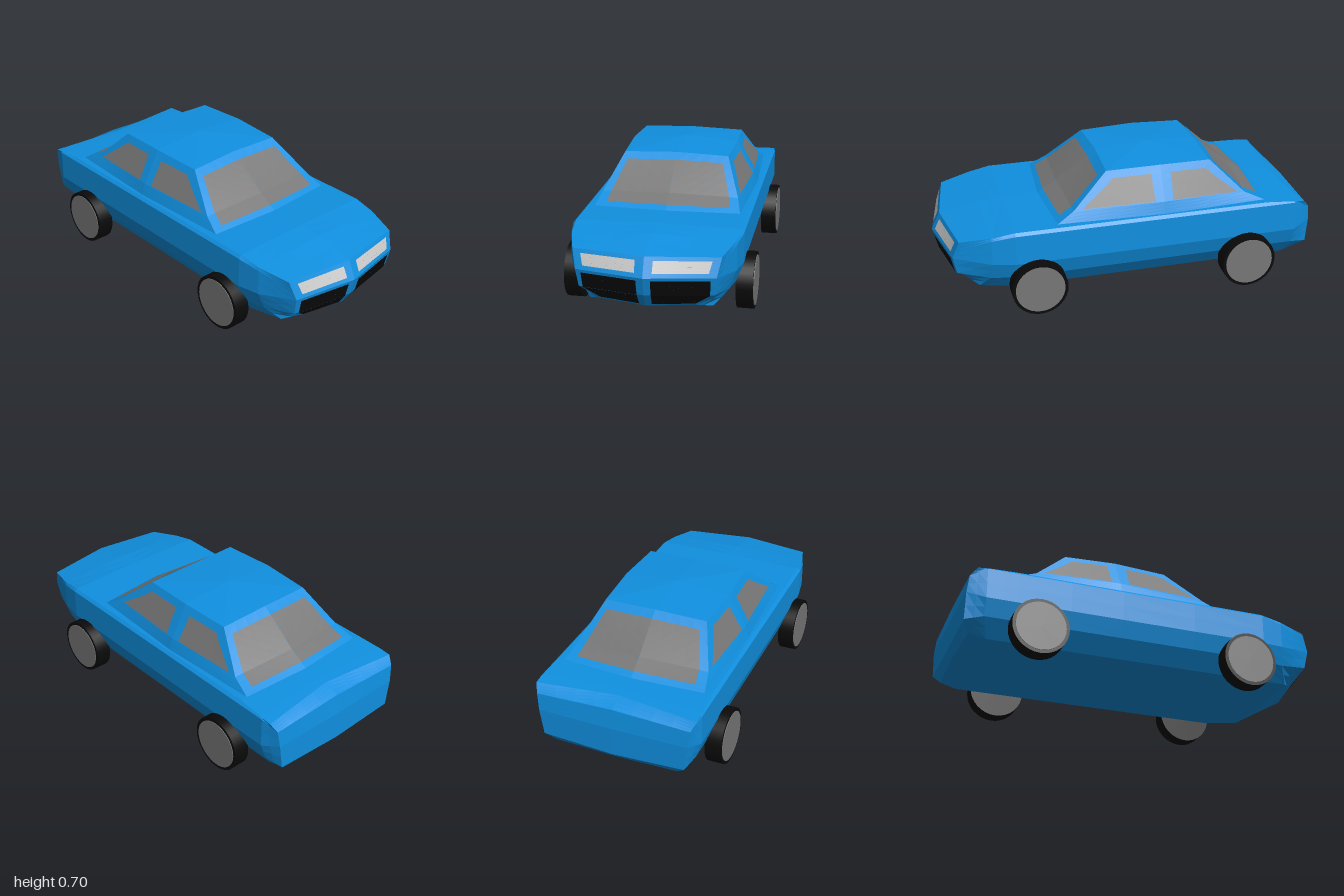
import * as THREE from 'three';

const BLUE = 0x1090e0, GLASS = 0x777777, BLACK = 0x0a0a0a, LIGHT = 0xcccccc;
const V = (x, y, z = 0) => new THREE.Vector3(x, y, z);
const CORE = V(-0.1, 0.3, 0); // every panel faces away from this inner point
const FULL = [[0, 0], [1, 0], [1, 1], [0, 1]];

// Collects triangles for one half of the car and mirrors them across z = 0
class Panels {
  constructor() { this.pos = []; }
  push(a, b, c, lift) {
    const n = b.clone().sub(a).cross(c.clone().sub(a));
    if (n.lengthSq() < 1e-16) return;
    n.normalize();
    const mid = a.clone().add(b).add(c).divideScalar(3).sub(CORE);
    const flip = n.dot(mid) < 0;
    if (flip) n.negate();
    for (const p of flip ? [a, c, b] : [a, b, c]) {
      this.pos.push(p.x + n.x * lift, p.y + n.y * lift, p.z + n.z * lift);
    }
  }
  tri(a, b, c, lift = 0) {
    this.push(a, b, c, lift);
    const [d, e, f] = [a, b, c].map((p) => V(p.x, p.y, -p.z));
    this.push(d, e, f, lift);
  }
  // Curved four-corner panel; uv picks the part of it to cover
  patch(A, B, C, D, uv = FULL, lift = 0, n = 4) {
    const mix = (a, b, c, d, u, v) =>
      a.clone().lerp(b, u).lerp(d.clone().lerp(c, u), v);
    const q = uv.map(([u, v]) => mix(A, B, C, D, u, v).setComponent(0, mix(A, B, C, D, u, v).x));
    const w = uv.map(([u, v]) => V(u, v));
    const at = (i, j) => {
      if (uv === FULL) return mix(...q, i / n, j / n);
      const s = mix(...w, i / n, j / n);
      return mix(A, B, C, D, s.x, s.y);
    };
    for (let i = 0; i < n; i++) {
      for (let j = 0; j < n; j++) {
        const a = at(i, j), b = at(i + 1, j), c = at(i + 1, j + 1), d = at(i, j + 1);
        this.tri(a, b, c, lift);
        this.tri(a, c, d, lift);
      }
    }
  }
  mesh(name, color) {
    const g = new THREE.BufferGeometry();
    g.setAttribute('position', new THREE.Float32BufferAttribute(this.pos, 3));
    g.computeVertexNormals();
    const m = new THREE.Mesh(g, new THREE.MeshStandardMaterial({ color, flatShading: true }));
    m.name = name;
    return m;
  }
}

// Standard section: top centre, shoulder, belt, mid, low, bottom corner, bottom centre
const section = (x, bx = x) => [
  V(x, 0.46), V(x, 0.455, 0.42), V(x, 0.44, 0.435), V(x, 0.28, 0.435),
  V(x, 0.19, 0.405), V(bx, 0.1, 0.34), V(bx, 0.1),
];

export function createModel() {
  const car = new THREE.Group();
  car.name = 'car';

  // Lower body: sections from tail to nose
  const tail = [
    V(-0.905, 0.448), V(-0.95, 0.44, 0.43), V(-0.985, 0.4, 0.41), V(-0.995, 0.31, 0.4),
    V(-0.995, 0.17, 0.38), V(-0.96, 0.12, 0.33), V(-0.97, 0.12),
  ];
  const tailCentre = [tail[0], V(-0.985, 0.415), V(-1, 0.31), V(-1, 0.155), tail[6]];
  const hood = [
    V(0.74, 0.45), V(0.74, 0.435, 0.41), V(0.74, 0.42, 0.415), V(0.74, 0.285, 0.415),
    V(0.75, 0.19, 0.38), V(0.8, 0.115, 0.31), V(0.81, 0.115),
  ];
  const nose = [
    V(0.955, 0.41), V(0.9, 0.41, 0.365), V(0.9175, 0.3625, 0.355), V(0.935, 0.315, 0.345),
    V(0.915, 0.22, 0.335), V(0.87, 0.145, 0.23), V(0.925, 0.145),
  ];
  const noseCentre = [nose[0], V(0.9775, 0.3625), V(1, 0.315), V(0.975, 0.22), nose[6]];
  const rear = section(-0.9, -0.87);
  rear[0].set(-0.86, 0.453, 0);
  rear[1].set(-0.88, 0.447, 0.428);
  const rings = [tail, rear, section(-0.74), section(-0.18), section(0.62), hood, nose];

  const body = new Panels();
  for (let r = 0; r < rings.length - 1; r++) {
    const a = rings[r], b = rings[r + 1];
    for (let i = 0; i < a.length - 1; i++) body.patch(a[i], a[i + 1], b[i + 1], b[i], FULL, 0, 2);
  }
  for (const [ring, mid] of [[tail, tailCentre], [nose, noseCentre]]) {
    for (let i = 0; i < 4; i++) body.patch(mid[i], ring[i + 1], ring[i + 2], mid[i + 1]);
  }
  car.add(body.mesh('body', BLUE));

  // Cabin: layers of front centre, front corner, pillar, rear corner, rear centre
  const base = [V(0.43, 0.455), V(0.4, 0.45, 0.385), V(-0.18, 0.45, 0.41), V(-0.75, 0.45, 0.385), V(-0.77, 0.455)];
  const waist = [V(0.315, 0.52), V(0.3, 0.51, 0.36), V(-0.18, 0.515, 0.387), V(-0.63, 0.505, 0.36), V(-0.66, 0.52)];
  const roof = [V(0.1, 0.685), V(0.11, 0.678, 0.28), V(-0.18, 0.685, 0.292), V(-0.455, 0.678, 0.28), V(-0.46, 0.685)];
  const cabin = new Panels();
  for (let i = 0; i < 4; i++) {
    cabin.patch(base[i], base[i + 1], waist[i + 1], waist[i]);
    cabin.patch(waist[i], waist[i + 1], roof[i + 1], roof[i]);
    cabin.tri(roof[i], roof[i + 1], V(-0.18, 0.705));
  }
  car.add(cabin.mesh('cabin', BLUE));

  // Windscreen and rear window wrap across the centre line
  for (const [name, c, k] of [['windscreen', 0, 1], ['rearWindow', 4, 3]]) {
    const glass = new Panels();
    glass.patch(base[c], base[k], waist[k], waist[c], [[0, 0.35], [0.86, 0.35], [0.87, 1], [0, 1]], 0.004);
    glass.patch(waist[c], waist[k], roof[k], roof[c], [[0, 0], [0.87, 0], [0.87, 0.8], [0, 0.8]], 0.004);
    car.add(glass.mesh(name, GLASS));
  }

  // Side windows, either side of the central pillar
  const sideUV = [[0.1, 0.02], [0.92, 0.02], [0.78, 0.78], [0.16, 0.78]];
  for (const [name, k] of [['frontSideWindows', 1], ['rearSideWindows', 3]]) {
    const glass = new Panels();
    glass.patch(waist[2], waist[k], roof[k], roof[2], sideUV, 0.004);
    car.add(glass.mesh(name, GLASS));
  }

  // Headlights and grille openings on the nose
  const lamps = new Panels();
  lamps.patch(noseCentre[0], nose[1], nose[3], noseCentre[2],
    [[0.12, 0.2], [0.89, 0.2], [0.88, 0.79], [0.12, 0.79]], 0.004);
  car.add(lamps.mesh('headlights', LIGHT));
  const grille = new Panels();
  grille.patch(noseCentre[2], nose[3], nose[4], noseCentre[3],
    [[0.1, 0.14], [0.92, 0.14], [0.93, 1], [0.1, 1]], 0.004);
  grille.patch(noseCentre[3], nose[4], nose[5], noseCentre[4],
    [[0.1, 0], [0.93, 0], [0.94, 0.8], [0.12, 0.8]], 0.004);
  car.add(grille.mesh('grille', BLACK));

  // Wheels
  const tyreGeo = new THREE.CylinderGeometry(0.147, 0.147, 0.086, 32).rotateX(Math.PI / 2);
  const rimGeo = new THREE.CylinderGeometry(0.13, 0.13, 0.086, 32).rotateX(Math.PI / 2);
  const tyreMat = new THREE.MeshStandardMaterial({ color: BLACK });
  const rimMat = new THREE.MeshStandardMaterial({ color: GLASS });
  for (const [end, x] of [['front', 0.51], ['rear', -0.63]]) {
    for (const [side, s] of [['Left', -1], ['Right', 1]]) {
      const wheel = new THREE.Group();
      wheel.name = `${end}${side}Wheel`;
      const tyre = new THREE.Mesh(tyreGeo, tyreMat);
      tyre.name = 'tyre';
      const rim = new THREE.Mesh(rimGeo, rimMat);
      rim.name = 'rim';
      rim.position.z = s * 0.003;
      wheel.add(tyre, rim);
      wheel.position.set(x, 0.147, s * 0.443);
      car.add(wheel);
    }
  }
  return car;
}
